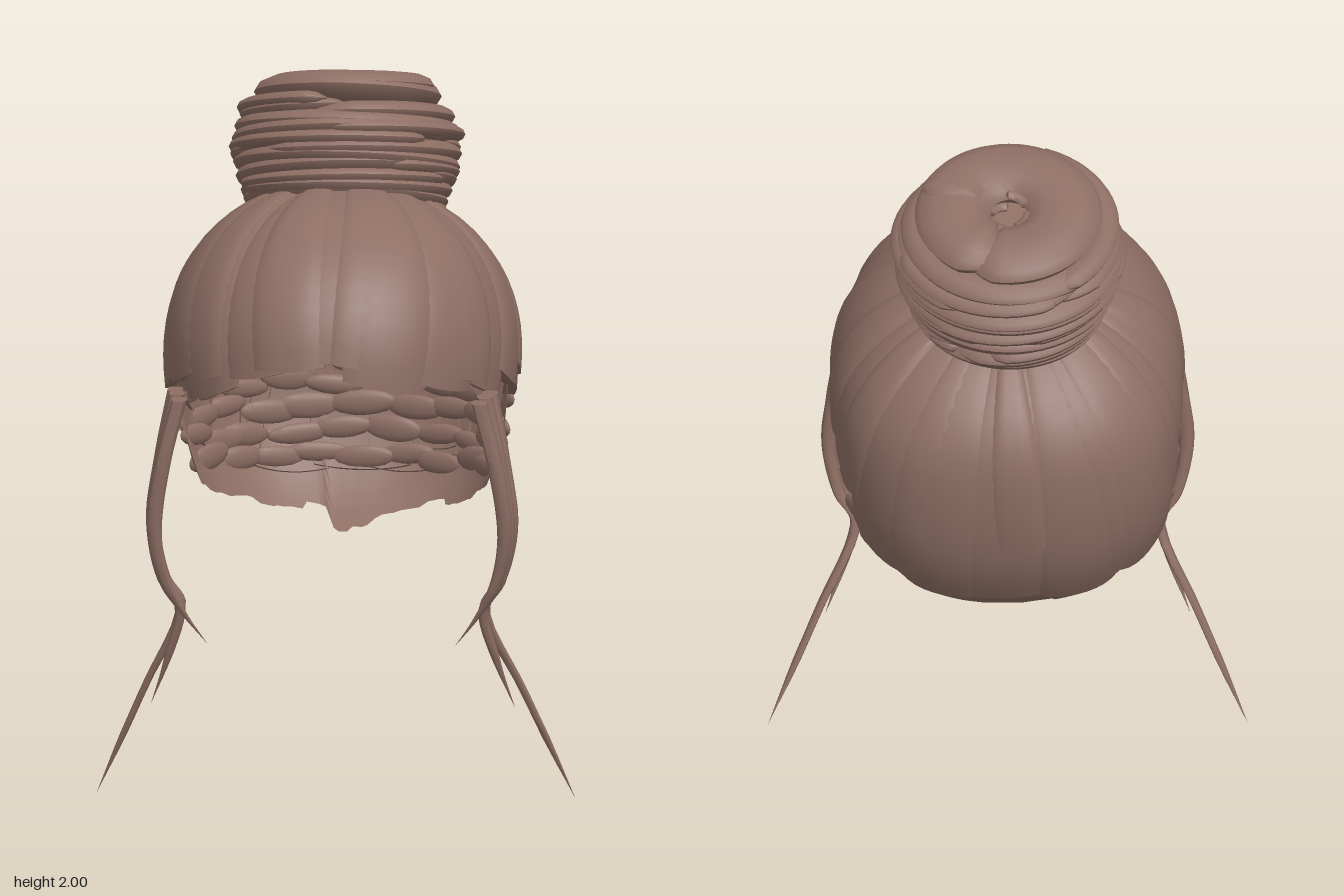
import * as THREE from 'three';
import { toCreasedNormals } from 'three/addons/utils/BufferGeometryUtils.js';

const hair = new THREE.MeshStandardMaterial({ color: 0x8d6e63, side: THREE.DoubleSide });
hair.name = 'brown hair';

const CY = 1.18, RAD = Math.PI / 180;
let seed = 7;
const rnd = () => (seed = (seed * 16807) % 2147483647) / 2147483647;

// Point on the scalp in direction d, raised by off: round in front, squarer and lower at the back
function scalp(d, off = 0, k = 1) {
  const back = THREE.MathUtils.smoothstep(-d.z, 0, 0.9);
  const a = d.z < 0 ? 2.7 : 2.15;
  const b = d.y > 0 ? 2.25 - 0.2 * back : 2.55;
  const ry = d.y > 0 ? 0.485 - 0.08 * back : 0.58;
  const flat = (Math.abs(d.x / 0.472) ** a + Math.abs(d.z / 0.565) ** a) ** (1 / a);
  const r = (flat ** b + Math.abs(d.y / ry) ** b) ** (-1 / b);
  return d.clone().multiplyScalar(r * k + off).add(new THREE.Vector3(0, CY, 0));
}

// Piecewise linear lookup in [x, y] pairs
function lerpTable(table, x) {
  for (let i = 1; i < table.length; i++) {
    const [x0, y0] = table[i - 1], [x1, y1] = table[i];
    if (x <= x1) return y0 + (y1 - y0) * Math.max(0, (x - x0) / (x1 - x0));
  }
  return table[table.length - 1][1];
}

// Surface from a grid of points fn(i, j)
function grid(nu, nv, fn, crease = 0.8) {
  const pos = [], idx = [];
  for (let i = 0; i <= nu; i++) for (let j = 0; j <= nv; j++) pos.push(...fn(i, j).toArray());
  for (let i = 0; i < nu; i++) for (let j = 0; j < nv; j++) {
    const a = i * (nv + 1) + j, b = a + nv + 1;
    idx.push(a, b, a + 1, b, b + 1, a + 1);
  }
  const g = new THREE.BufferGeometry();
  g.setAttribute('position', new THREE.Float32BufferAttribute(pos, 3));
  g.setIndex(idx);
  return toCreasedNormals(g, crease);
}

function add(parent, name, geometry) {
  const m = new THREE.Mesh(geometry, hair);
  m.name = name;
  parent.add(m);
  return m;
}

// Hairlines: degrees from the front, lower edge height
const skinLine = [[0, 1.3], [30, 1.25], [50, 1.2], [62, 1.1], [72, 1.0], [76, 1.08], [82, 1.15], [95, 1.12],
  [101, 1.03], [102, 0.82], [115, 0.79], [130, 0.75], [150, 0.72], [168, 0.7], [172, 0.67], [180, 0.67]];
const lockLine = [[0, 1.27], [25, 1.23], [40, 1.19], [60, 1.17], [95, 1.16], [110, 1.12], [120, 1.0], [130, 0.86], [150, 0.79], [180, 0.77]];
const bearing = (p) => Math.atan2(Math.abs(p.x), p.z) / RAD;

// Thin under-layer with a ragged, stepped edge
function underLayer() {
  const cols = 144, rows = 20, ends = [];
  for (let i = 0; i < cols; i += 4) {
    const jag = (rnd() - 0.5) * 0.03;
    for (let n = i; n < i + 4; n++) ends.push(lerpTable(skinLine, Math.abs((n + 0.5) * 360 / cols - 180)) + jag);
  }
  return grid(cols, rows, (i, j) => {
    const phi = (i / cols) * Math.PI * 2 - Math.PI;
    const yEnd = ends[i % cols];
    const dir = (t) => new THREE.Vector3(Math.sin(t) * Math.sin(phi), Math.cos(t), Math.sin(t) * Math.cos(phi));
    let t = 0.3;
    while (t < 3 && scalp(dir(t), 0, 0.98).y > yEnd) t += 0.01;
    return scalp(dir((t * j) / rows), 0, 0.98);
  }, 1.2);
}

// Raised lock swept over the scalp from beneath the bun
function lock(azimuth, half, lift, shorten, twist) {
  const dir = (a, t) => {
    const s = Math.sin(t), c = Math.cos(t), q = 0.42;
    return new THREE.Vector3(s * Math.sin(a),
      c * Math.cos(q) + s * Math.cos(a) * Math.sin(q), -c * Math.sin(q) + s * Math.cos(a) * Math.cos(q));
  };
  const at = (t) => azimuth + twist * (t - 0.3);
  let end = 0.6;
  while (end < 2.7) {
    const p = scalp(dir(at(end), end));
    if (p.y < lerpTable(lockLine, bearing(p)) + shorten) break;
    end += 0.01;
  }
  const rows = 16, cols = 12;
  return grid(rows + 1, cols, (i, j) => {
    const u = Math.min(i, rows) / rows, t = 0.22 + (end - 0.22) * u;
    const s = THREE.MathUtils.clamp((j - 1) / (cols - 2), 0, 1) * 2 - 1;
    const under = i > rows || j === 0 || j === cols;
    const off = under ? -0.02 : lift + 0.02 * (1 - s ** 4) * (1 - 0.4 * u ** 6);
    const tip = 1 - 0.12 * u ** 5;
    return scalp(dir(at(t) + s * half * tip, t - 0.025 * s * s * u), off);
  });
}

// Flattened rope wound around the bun, tapering at both ends
function wrap(h, outer, start, arc, wide, tall, rise, wobble) {
  const nu = Math.ceil(arc * 9), nv = 12;
  return grid(nu, nv, (i, j) => {
    const u = i / nu, a = start + arc * u, v = (j / nv) * Math.PI * 2;
    const k = Math.min(1, Math.sin(Math.PI * u) * 4 + 0.001) ** 0.5;
    const r = outer - wide + wide * k * Math.cos(v);
    const y = h + rise * (u - 0.5) + wobble * Math.sin(a + start) + tall * k * Math.sin(v);
    return new THREE.Vector3(r * Math.sin(a), y, r * Math.cos(a));
  });
}

// Hanging strand narrowing to a point
function strand(points) {
  const curve = new THREE.CatmullRomCurve3(points.map((p) => new THREE.Vector3(...p)), false, 'centripetal');
  const halfZ = [[0, 0.012], [0.35, 0.018], [0.6, 0.022], [0.85, 0.029], [1.2, 0.036]];
  const halfX = [[0, 0.009], [0.35, 0.011], [0.6, 0.015], [0.85, 0.022], [1.2, 0.022]];
  const rows = 32, nv = 12, tipY = points[points.length - 1][1];
  return grid(rows + 1, nv, (i, j) => {
    const u = Math.max(0, i - 1) / rows, p = curve.getPoint(u);
    const taper = i === 0 ? 0 : Math.min(1, (p.y - tipY) / 0.16), v = (j / nv) * Math.PI * 2;
    const round = (c) => Math.sign(c) * Math.abs(c) ** 0.6;
    p.x += lerpTable(halfX, p.y) * taper * round(Math.cos(v));
    p.z += lerpTable(halfZ, p.y) * taper * round(Math.sin(v));
    return p;
  });
}

export function createModel() {
  const model = new THREE.Group();
  model.name = 'hairstyle';

  // Cap of overlapping locks
  const cap = new THREE.Group();
  cap.name = 'cap';
  model.add(cap);
  add(cap, 'underLayer', underLayer());
  const count = 18;
  for (let i = 0; i < count; i++) {
    const a = (i / count) * Math.PI * 2;
    add(cap, 'lock', lock(a, 0.21 + rnd() * 0.06, rnd() * 0.014, (rnd() - 0.4) * 0.05, (rnd() - 0.5) * 0.14));
  }
  for (let i = 0; i < 13; i++) {
    const a = ((i + 0.5) / 13) * Math.PI * 2, back = (1 - Math.cos(a)) / 2;
    add(cap, 'upperLock', lock(a, 0.15 + rnd() * 0.07, 0.006 + rnd() * 0.01, 0.01 + rnd() * (0.02 + 0.25 * back), (rnd() - 0.5) * 0.2));
  }

  // Short tufts lining the inside of the back
  const tuft = new THREE.SphereGeometry(1, 14, 8);
  for (let row = 0; row < 7; row++) for (let i = 0; i < 9; i++) {
    const phi = (117 + (i + (row % 2) * 0.5) * 14.8 + (rnd() - 0.5) * 5) * RAD;
    const e = -0.62 + row * 0.12 + (rnd() - 0.5) * 0.05;
    const d = new THREE.Vector3(Math.sin(phi) * Math.cos(e), Math.sin(e), Math.cos(phi) * Math.cos(e));
    const m = add(cap, 'innerTuft', tuft);
    m.position.copy(scalp(d, 0, 0.965));
    m.lookAt(0, m.position.y, 0);
    m.rotateZ((rnd() - 0.5) * 0.25);
    m.scale.set(0.075 + rnd() * 0.025, 0.028 + rnd() * 0.01, 0.016);
  }

  // Bun of wound ropes, leaning back
  const bun = new THREE.Group();
  bun.name = 'bun';
  bun.position.set(0, 1.595, -0.21);
  bun.rotation.x = -0.3;
  model.add(bun);
  add(bun, 'bunCore', new THREE.CylinderGeometry(0.25, 0.26, 0.3, 32)).position.y = 0.11;
  const outline = [[-0.02, 0.275], [0.04, 0.295], [0.1, 0.315], [0.17, 0.325], [0.22, 0.315], [0.29, 0.285]];
  for (let i = 0; i < 9; i++) {
    const h = -0.02 + i * 0.034, r = lerpTable(outline, h);
    add(bun, 'bunRope', wrap(h, r, i * 2.3, Math.PI * 2 + 0.5, 0.06, 0.03, 0.024, 0.008));
    add(bun, 'bunOverlap', wrap(h + 0.014, r + 0.008, i * 1.9 + 1, 1.6 + rnd() * 1.6, 0.04, 0.022, 0.02, 0.006));
  }
  add(bun, 'bunTop', wrap(0.312, 0.262, 2.4, Math.PI * 2 + 0.7, 0.106, 0.048, 0.012, 0.006));
  add(bun, 'bunTopOverlap', wrap(0.328, 0.256, -0.9, 2.4, 0.09, 0.038, 0.008, 0.004));
  for (let i = 0; i < 4; i++) {
    add(bun, 'bunHoleLock', wrap(0.29 + i * 0.012, 0.08, i * 1.7, 1.3, 0.02, 0.012, 0.01, 0));
  }

  // Face-framing strands, mirrored left and right
  const paths = [
    [[0.42, 1.18, 0.515], [0.465, 1.0, 0.52], [0.49, 0.8, 0.505], [0.46, 0.65, 0.48], [0.41, 0.56, 0.46], [0.345, 0.47, 0.44]],
    [[0.43, 1.185, 0.445], [0.47, 1.0, 0.455], [0.495, 0.8, 0.45], [0.47, 0.65, 0.425], [0.425, 0.57, 0.41], [0.46, 0.42, 0.38], [0.51, 0.28, 0.35]],
    [[0.44, 1.18, 0.365], [0.475, 1.0, 0.385], [0.5, 0.8, 0.39], [0.47, 0.65, 0.375], [0.425, 0.57, 0.36], [0.53, 0.32, 0.295], [0.67, 0, 0.22]],
  ];
  for (const side of [1, -1]) for (const path of paths) {
    add(model, side > 0 ? 'leftStrand' : 'rightStrand', strand(path.map(([x, y, z]) => [x * side, y, z])));
  }
  return model;
}
